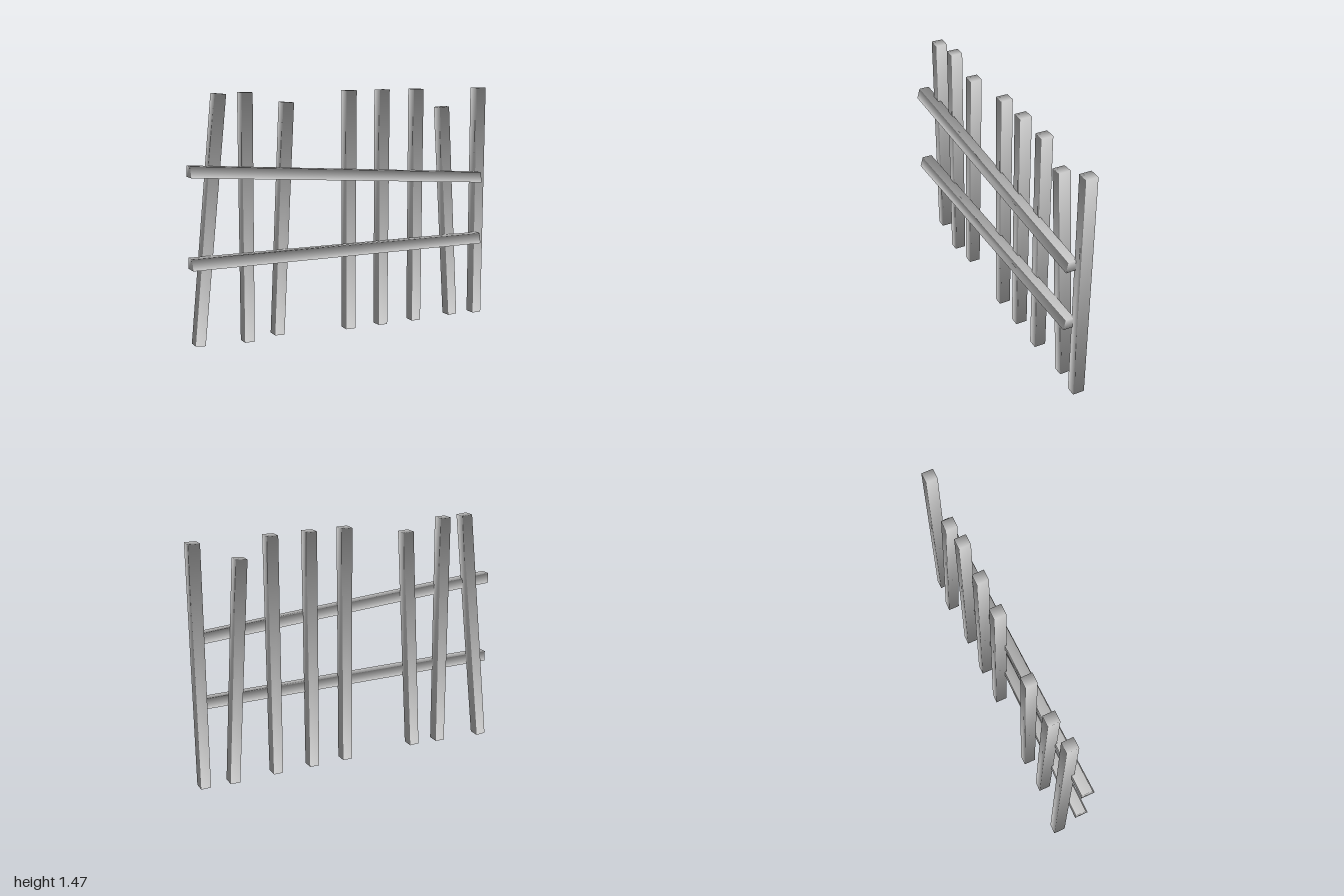
import * as THREE from 'three';

const material = new THREE.MeshStandardMaterial({ color: 0xcccccc });

// Four-sided beam; place() maps corner signs to a point.
// One soft normal per corner, mirrored front to back, shades all its faces.
function beam(name, place) {
  const geometry = new THREE.BoxGeometry(2, 2, 2);
  const { position, normal } = geometry.attributes;
  for (let i = 0; i < position.count; i++) {
    const s = new THREE.Vector3().fromBufferAttribute(position, i);
    position.setXYZ(i, ...place(s.x, s.y, s.z));
    s.normalize();
    normal.setXYZ(i, s.x, s.y, -s.z);
  }
  const mesh = new THREE.Mesh(geometry, material);
  mesh.name = name;
  return mesh;
}

// Upright from a bottom centre to a top centre, slightly wider at the top
function post(name, bottom, top) {
  const lean = (top[0] - bottom[0]) / (top[1] - bottom[1]);
  return beam(name, (sx, sy, sz) => {
    const c = sy > 0 ? top : bottom;
    const half = sy > 0 ? 0.034 : 0.03;
    return [c[0] + sx * half, c[1] - sx * half * lean, c[2] + sz * 0.036];
  });
}

// Rail whose front face slopes outward towards its lower edge
function rail(name, yLeft, yRight) {
  return beam(name, (sx, sy, sz) => {
    const end = sx > 0
      ? { x: 0.94, y: yRight, front: sy > 0 ? 0.06 : 0.072 }
      : { x: -1, y: yLeft, front: sy > 0 ? 0.07 : 0.088 };
    return [end.x, end.y + sy * 0.032, sz > 0 ? end.front : 0.005];
  });
}

export function createModel() {
  const group = new THREE.Group();
  group.name = 'fence';

  // Straight uprights
  [-0.633, 0.036, 0.262, 0.502, 0.962].forEach((x, i) => {
    group.add(post(`straightPost${i + 1}`, [x - 0.005, 0, -0.02], [x, 1.465, -0.023]));
  });

  // Crooked uprights
  group.add(post('leaningPost1', [-0.93, 0.003, -0.055], [-0.803, 1.462, 0.003]));
  group.add(post('leaningPost2', [-0.44, 0.015, -0.034], [-0.373, 1.403, -0.028]));
  group.add(post('leaningPost3', [0.78, 0.003, -0.036], [0.691, 1.35, -0.026]));

  // Cross rails on the front
  group.add(rail('upperRail', 1.033, 0.898));
  group.add(rail('lowerRail', 0.506, 0.503));

  return group;
}
